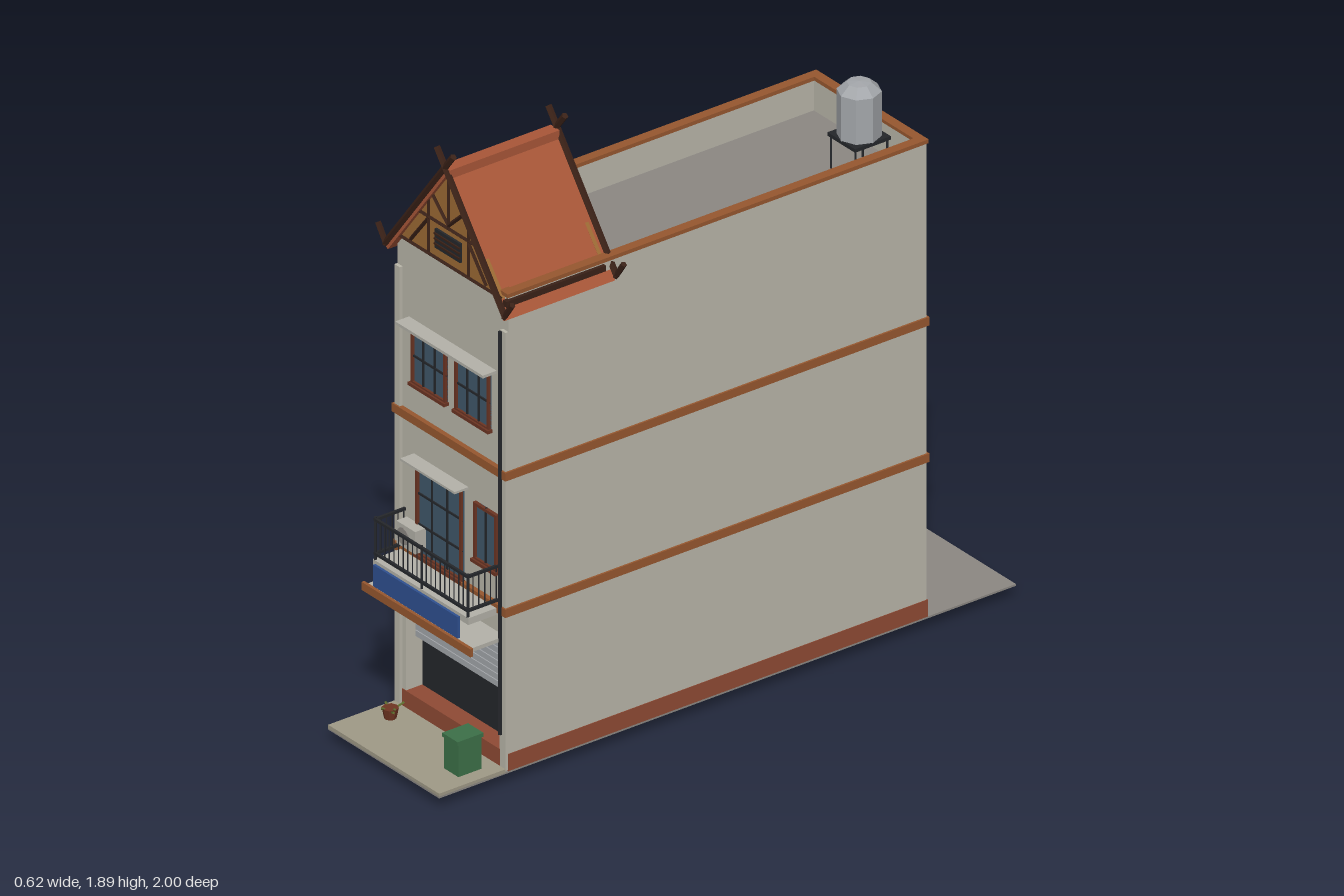
import * as THREE from 'three';

const C = {
  wall: 0xb9b6a9, deck: 0x8b8782, pave: 0x9f9986, brick: 0x8f4a34, trim: 0x96572f, glass: 0x40586a,
  frame: 0x6b3422, dark: 0x24262a, beam: 0x3a2117, roof: 0xa85638, wood: 0x9c6a34, sign: 0x2f5090,
  bin: 0x3c7048, metal: 0xa3a6aa, slab: 0xb3b1a8, jar: 0x6f3422, leaf: 0x5a6a2c,
};
const mats = {};
const mat = (k) => (mats[k] ??= new THREE.MeshStandardMaterial({ color: C[k], flatShading: true, side: THREE.DoubleSide }));

export function createModel() {
  const root = new THREE.Group();
  const add = (name, geo, k, parent = root) => {
    const m = new THREE.Mesh(geo, mat(k));
    m.name = name;
    parent.add(m);
    return m;
  };
  const group = (name) => {
    const g = new THREE.Group();
    g.name = name;
    root.add(g);
    return g;
  };
  // box given by its limits on each axis
  const box = (name, k, x0, x1, y0, y1, z0, z1, parent) => {
    const m = add(name, new THREE.BoxGeometry(x1 - x0, y1 - y0, z1 - z0), k, parent);
    m.position.set((x0 + x1) / 2, (y0 + y1) / 2, (z0 + z1) / 2);
    return m;
  };
  // round bar between two points
  const bar = (name, k, a, b, r, parent, sides = 6) => {
    const p = new THREE.Vector3(...a), q = new THREE.Vector3(...b), d = q.clone().sub(p);
    const m = add(name, new THREE.CylinderGeometry(r, r, d.length(), sides), k, parent);
    m.position.copy(p).add(q).multiplyScalar(0.5);
    m.quaternion.setFromUnitVectors(new THREE.Vector3(0, 1, 0), d.normalize());
    return m;
  };
  const rect = (P, x0, x1, y0, y1) => {
    const s = new P();
    s.moveTo(x0, y0); s.lineTo(x1, y0); s.lineTo(x1, y1); s.lineTo(x0, y1); s.closePath();
    return s;
  };
  // flat rectangular ring lying on the roof edge
  const ring = (name, k, x, z0, z1, t, y0, y1) => {
    const s = rect(THREE.Shape, -x, x, -z1, -z0);
    s.holes.push(rect(THREE.Path, -x + t, x - t, -z1 + t, -z0 - t));
    const g = new THREE.ExtrudeGeometry(s, { depth: y1 - y0, bevelEnabled: false });
    add(name, g.rotateX(-Math.PI / 2).translate(0, y0, 0), k);
  };

  // Ground
  box('groundSlab', 'deck', -0.25, 0.25, 0.04, 0.046, -1, 1);
  box('pavement', 'pave', -0.25, 0.25, 0.044, 0.055, 0.77, 1);

  // Main block, with a shop opening cut through the front wall
  box('mainBlock', 'wall', -0.25, 0.25, 0.046, 1.43, -0.69, 0.7);
  const face = rect(THREE.Shape, -0.25, 0.25, 0.046, 1.43);
  face.holes.push(rect(THREE.Path, -0.21, 0.21, 0.06, 0.45));
  add('frontWall', new THREE.ExtrudeGeometry(face, { depth: 0.06, bevelEnabled: false }).translate(0, 0, 0.7), 'wall');
  for (const s of [-1, 1])
    box('pilaster', 'wall', s * 0.238 - 0.012, s * 0.238 + 0.012, 0.05, 1.42, 0.755, 0.77);
  ring('parapet', 'wall', 0.25, -0.69, 0.76, 0.025, 1.43, 1.53);
  ring('coping', 'trim', 0.253, -0.695, 0.765, 0.03, 1.528, 1.54);
  box('roofDeck', 'deck', -0.226, 0.226, 1.425, 1.434, -0.67, 0.74);
  box('plinth', 'brick', -0.252, 0.252, 0.047, 0.1, -0.693, 0.762);
  for (const y of [0.545, 0.972])
    box('floorBand', 'trim', -0.256, 0.256, y - 0.013, y + 0.013, -0.696, 0.775);
  bar('drainPipe', 'dark', [0.234, 0.16, 0.777], [0.234, 1.42, 0.777], 0.006);

  // Shop front
  box('shopInterior', 'dark', -0.21, 0.21, 0.1, 0.27, 0.695, 0.704);
  const shutter = group('rollerShutter');
  for (let i = 0; i < 9; i++) {
    const y = 0.26 + i * 0.0211;
    box('shutterSlat', 'metal', -0.21, 0.21, y, y + 0.018, 0.715, 0.728, shutter);
  }
  box('shutterBacking', 'deck', -0.21, 0.21, 0.262, 0.45, 0.705, 0.716, shutter);

  // Canopy and sign board
  box('canopySlab', 'slab', -0.235, 0.235, 0.45, 0.462, 0.76, 0.882);
  box('canopyEdge', 'trim', -0.245, 0.245, 0.442, 0.467, 0.878, 0.888);
  box('signBoard', 'sign', -0.19, 0.19, 0.478, 0.545, 0.882, 0.89);

  // Balcony with railing
  const balcony = group('balcony');
  box('balconySlab', 'slab', -0.215, 0.215, 0.525, 0.546, 0.76, 0.872, balcony);
  for (const y of [0.566, 0.672]) {
    box('frontRail', 'dark', -0.212, 0.212, y - 0.004, y + 0.004, 0.864, 0.872, balcony);
    for (const s of [-1, 1])
      box('sideRail', 'dark', s * 0.208 - 0.004, s * 0.208 + 0.004, y - 0.004, y + 0.004, 0.765, 0.868, balcony);
  }
  for (let i = 0; i <= 20; i++) {
    const x = -0.208 + i * 0.0208, post = i % 10 === 0;
    bar('baluster', 'dark', [x, post ? 0.545 : 0.566, 0.868], [x, post ? 0.68 : 0.672, 0.868], post ? 0.005 : 0.0022, balcony, 4);
  }
  for (const s of [-1, 1])
    for (let i = 0; i < 5; i++)
      bar('sideBaluster', 'dark', [s * 0.208, 0.566, 0.77 + i * 0.02], [s * 0.208, 0.672, 0.77 + i * 0.02], 0.0022, balcony, 4);

  // Air conditioner on the balcony
  box('airConditioner', 'slab', -0.2, -0.115, 0.58, 0.65, 0.765, 0.802);
  const fan = add('airConditionerFan', new THREE.CylinderGeometry(0.026, 0.026, 0.004, 12).rotateX(Math.PI / 2), 'deck');
  fan.position.set(-0.168, 0.615, 0.803);

  // Framed window: dir is +1 on the front wall and -1 on the back wall
  const makeWindow = (name, x0, x1, y0, y1, dir, cols, rows, barKind) => {
    const g = group(name), w = x1 - x0, h = y1 - y0, t = 0.009;
    const z = dir > 0 ? 0.76 : -0.69;
    const part = (n, k, a, b, c, d, depth) =>
      box(n, k, a, b, c, d, Math.min(z - dir * 0.005, z + dir * depth), Math.max(z - dir * 0.005, z + dir * depth), g);
    part('glass', 'glass', x0, x1, y0, y1, 0.004);
    for (const x of [x0, x1 - t]) part('frameSide', 'frame', x, x + t, y0, y1, 0.011);
    for (const y of [y0, y1 - t]) part('frameRail', 'frame', x0, x1, y, y + t, 0.011);
    for (let i = 1; i < cols; i++) {
      const x = x0 + (w * i) / cols;
      part('mullion', barKind, x - 0.003, x + 0.003, y0, y1, 0.008);
    }
    for (let i = 1; i < rows; i++) {
      const y = y0 + (h * i) / rows;
      part('transom', barKind, x0, x1, y - 0.003, y + 0.003, 0.008);
    }
    part('sill', 'frame', x0 - 0.004, x1 + 0.004, y0 - 0.006, y0 + 0.004, 0.017);
  };
  makeWindow('balconyDoor', -0.155, 0.052, 0.555, 0.843, 1, 3, 3, 'dark');
  makeWindow('balconyWindow', 0.104, 0.208, 0.65, 0.83, 1, 2, 1, 'dark');
  makeWindow('upperWindowRight', -0.177, -0.022, 1.08, 1.255, 1, 3, 2, 'dark');
  makeWindow('upperWindowLeft', 0.02, 0.175, 1.08, 1.255, 1, 3, 2, 'dark');
  for (const y of [0.65, 1.08]) makeWindow('backWindow', -0.08, 0.08, y, y + 0.158, -1, 3, 2, 'dark');
  box('doorHood', 'slab', -0.175, 0.07, 0.85, 0.857, 0.755, 0.808);
  box('windowHood', 'slab', -0.197, 0.197, 1.267, 1.276, 0.755, 0.808);

  // Gabled roof over the front
  const Z0 = 0.405, Z1 = 0.785, apex = 1.825;
  const tri = new THREE.Shape();
  tri.moveTo(-0.235, 1.52); tri.lineTo(0.235, 1.52); tri.lineTo(0, apex - 0.005); tri.closePath();
  for (const z of [Z0 + 0.01, Z1 - 0.025])
    add('gableWall', new THREE.ExtrudeGeometry(tri, { depth: 0.012, bevelEnabled: false }).translate(0, 0, z), 'wood');
  for (const s of [-1, 1]) {
    const slope = new THREE.Shape();
    slope.moveTo(0, apex); slope.lineTo(s * 0.27, 1.472); slope.lineTo(s * 0.26, 1.467); slope.lineTo(0, apex - 0.018);
    slope.closePath();
    add('roofSlope', new THREE.ExtrudeGeometry(slope, { depth: Z1 - Z0, bevelEnabled: false }).translate(0, 0, Z0), 'roof');
    box('eaveBeam', 'beam', s * 0.253 - 0.008, s * 0.253 + 0.008, 1.505, 1.523, 0.43, 0.775);
    // crossed barge boards with upturned ends
    for (const z of [Z0 - 0.005, Z1 + 0.002]) {
      bar('bargeBoard', 'beam', [-s * 0.038, 1.885, z], [s * 0.27, 1.482, z], 0.01, root, 5);
      bar('bargeEnd', 'beam', [s * 0.265, 1.48, z], [s * 0.303, 1.535, z], 0.009, root, 5);
    }
  }
  box('ridgeCap', 'roof', -0.02, 0.02, apex - 0.018, apex + 0.009, Z0, Z1);
  // Timbering on the front gable
  const gz = Z1 - 0.01;
  const timbers = [
    [-0.235, 1.525, 0.235, 1.525], [-0.14, 1.64, 0.14, 1.64], [0, 1.64, 0, 1.81],
    [-0.09, 1.53, -0.09, 1.7], [0.09, 1.53, 0.09, 1.7], [0, 1.65, -0.075, 1.72], [0, 1.65, 0.075, 1.72],
    [-0.09, 1.635, -0.17, 1.535], [0.09, 1.635, 0.17, 1.535],
  ];
  for (const [a, b, c, d] of timbers) bar('gableTimber', 'beam', [a, b, gz], [c, d, gz], 0.006, root, 4);
  box('gableVent', 'dark', -0.057, 0.057, 1.558, 1.618, gz - 0.005, gz + 0.004);
  for (let i = 0; i < 3; i++)
    box('ventSlat', 'beam', -0.057, 0.057, 1.57 + i * 0.016, 1.575 + i * 0.016, gz, gz + 0.008);

  // Water tank on a stand
  const tank = group('waterTank');
  const profile = [[0, 1.545], [0.063, 1.545], [0.063, 1.685], [0.035, 1.71], [0, 1.713]];
  add('tankBody', new THREE.LatheGeometry(profile.map((p) => new THREE.Vector2(...p)), 8), 'metal', tank)
    .position.set(0.122, 0, -0.555);
  box('tankStand', 'dark', 0.06, 0.184, 1.535, 1.546, -0.617, -0.493, tank);
  for (const x of [0.067, 0.177])
    for (const z of [-0.61, -0.5]) bar('standLeg', 'dark', [x, 1.43, z], [x, 1.54, z], 0.004, tank, 4);

  // Street items
  box('binBody', 'bin', 0.143, 0.207, 0.055, 0.155, 0.82, 0.9);
  box('binLid', 'bin', 0.14, 0.21, 0.155, 0.167, 0.815, 0.905);
  const jar = [[0, 0.046], [0.03, 0.046], [0.05, 0.085], [0.045, 0.12], [0.024, 0.135], [0.028, 0.145], [0, 0.14]];
  add('waterJar', new THREE.LatheGeometry(jar.map((p) => new THREE.Vector2(...p)), 7), 'jar').position.set(-0.155, 0, -0.86);
  const plant = group('pottedPlant');
  add('plantPot', new THREE.CylinderGeometry(0.024, 0.017, 0.035, 8), 'jar', plant).position.set(-0.178, 0.07, 0.84);
  for (let i = 0; i < 9; i++) {
    const a = i * 2.4, r = 0.022 + (i % 3) * 0.008, drop = i % 2 ? 0.001 + (i % 4) * 0.005 : 0.09;
    const tip = [-0.178 + Math.cos(a) * r, drop, 0.84 + Math.sin(a) * r * 1.2];
    bar('leaf', 'leaf', [-0.178, drop > 0.05 ? 0.075 : 0.05, 0.84], tip, 0.004, plant, 4);
  }
  return root;
}
